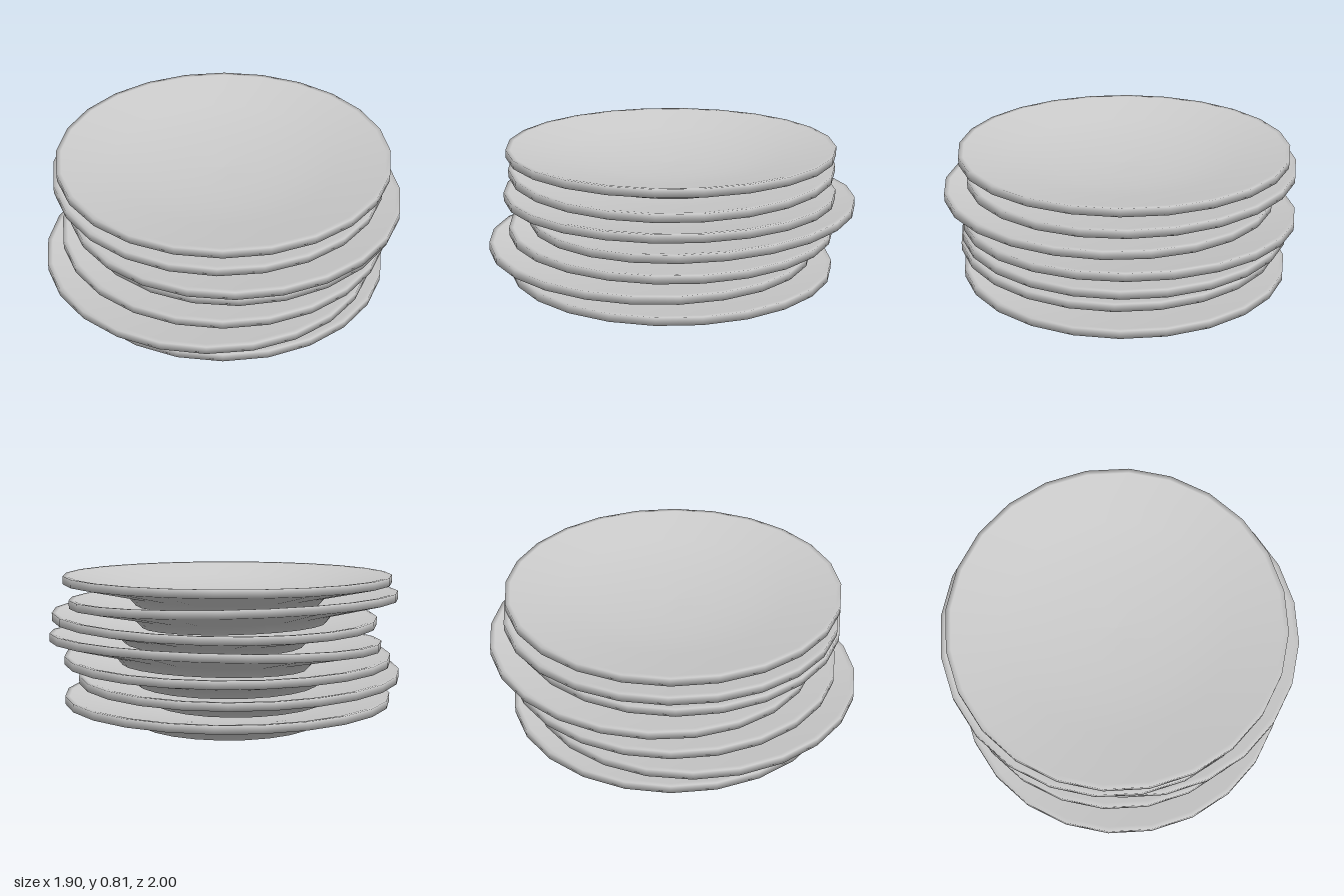
import * as THREE from 'three';
import { mergeGeometries } from 'three/addons/utils/BufferGeometryUtils.js';

const SIDES = 24;

// One plate: foot wall, sloping underside, upright rim and rounded dish
function plateGeometry() {
  const profile = [
    [0.5, 0], [0.543, 0.05], [0.887, 0.122], [0.887, 0.165],
    [0.862, 0.163], [0.6, 0.108], [0.4, 0.08], [0.2, 0.065], [0, 0.06],
  ].map(([r, y]) => new THREE.Vector2(r, y));
  const body = new THREE.LatheGeometry(profile, SIDES);
  // Flat base with its own normals, so the foot keeps a sharp edge
  const base = new THREE.CircleGeometry(0.5, SIDES).rotateX(Math.PI / 2);
  return mergeGeometries([body, base]);
}

export function createModel() {
  const group = new THREE.Group();
  group.name = 'plateStack';
  const geometry = plateGeometry();
  const material = new THREE.MeshStandardMaterial({ color: 0xcccccc });

  // Each plate's offset in x and z, and its tilt about x and z
  const plates = [
    { x: -0.025, z: 0, tiltX: 0, tiltZ: 0 },
    { x: -0.025, z: 0.117, tiltX: -0.023, tiltZ: 0 },
    { x: -0.025, z: 0, tiltX: 0, tiltZ: 0 },
    { x: -0.025, z: -0.12, tiltX: 0.05, tiltZ: 0 },
    { x: 0.063, z: 0, tiltX: 0, tiltZ: 0.024 },
    { x: -0.068, z: 0, tiltX: 0, tiltZ: -0.031 },
    { x: -0.025, z: 0, tiltX: 0, tiltZ: 0 },
  ];
  plates.forEach(({ x, z, tiltX, tiltZ }, i) => {
    const plate = new THREE.Mesh(geometry, material);
    plate.name = `plate${i + 1}`;
    plate.position.set(x, i * 0.1075, z);
    plate.rotation.set(tiltX, 0, tiltZ);
    group.add(plate);
  });
  return group;
}
